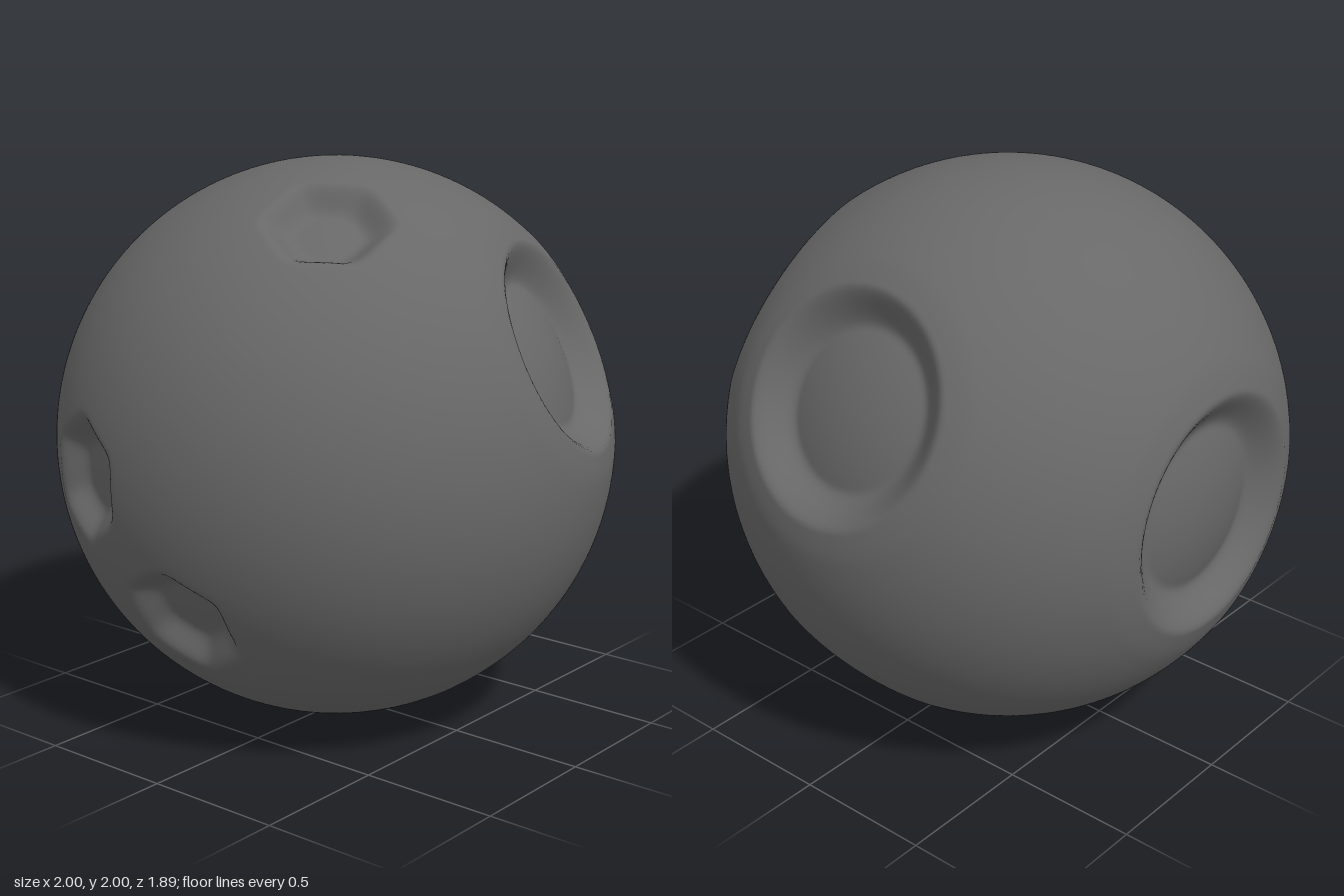
import * as THREE from 'three';
import { mergeVertices } from 'three/addons/utils/BufferGeometryUtils.js';

const { smoothstep, degToRad } = THREE.MathUtils;

// Outward direction and size of each round crater
const roundCraters = [
  [0.26, 0.42, 0.865, 0.94],
  [0.89, 0.45, 0.01, 0.98],
  [0.43, -0.85, 0.31, 1.02],
  [0, 0, -1, 1.04],
].map(([x, y, z, size]) => ({ dir: new THREE.Vector3(x, y, z).normalize(), size }));

// Outward direction and side directions of each small hexagonal crater
const hexCraters = [
  [-0.42, 0.85, 0.315],
  [-0.94, -0.03, -0.34],
  [-0.87, -0.48, 0.05],
].map((d) => {
  const dir = new THREE.Vector3(...d).normalize();
  const v = new THREE.Vector3(0, 0, 1).addScaledVector(dir, -dir.z).normalize();
  const u = new THREE.Vector3().crossVectors(v, dir);
  const sides = Array.from({ length: 6 }, (_, k) => {
    const a = (k * Math.PI) / 3;
    return v.clone().multiplyScalar(Math.cos(a)).addScaledVector(u, Math.sin(a));
  });
  return { dir, sides };
});

// 1 on the crater floor, curving up to a steep wall and 0 at the rim
const sink = (d, floor, rim) => 1 - smoothstep(d, floor, rim) ** 1.5;

// Distance from the centre of the ball to its surface in direction p
function surfaceRadius(p) {
  let r = 1;
  for (const { dir, size } of roundCraters) {
    const angle = p.angleTo(dir) / size;
    r -= 0.12 * sink(angle, degToRad(17.5), degToRad(24.5));
    // Soft lip around the rim
    r -= 0.012 * (1 - smoothstep(angle, degToRad(22), degToRad(31)));
  }
  for (const { dir, sides } of hexCraters) {
    if (p.dot(dir) < 0.9) continue;
    // Soft maximum rounds the corners of the hexagon
    const d = Math.log(sides.reduce((sum, s) => sum + Math.exp(60 * s.dot(p)), 0)) / 60;
    r -= 0.085 * sink(d, 0.1, 0.215);
  }
  return r;
}

export function createModel() {
  const group = new THREE.Group();

  // Ball with sunken round and hexagonal craters
  let geo = new THREE.IcosahedronGeometry(1, 80);
  geo.deleteAttribute('normal');
  geo.deleteAttribute('uv');
  geo = mergeVertices(geo, 1e-4);
  const pos = geo.attributes.position;
  const p = new THREE.Vector3();
  for (let i = 0; i < pos.count; i++) {
    p.fromBufferAttribute(pos, i).normalize();
    p.multiplyScalar(surfaceRadius(p));
    pos.setXYZ(i, p.x, p.y, p.z);
  }
  geo.computeVertexNormals();

  const ball = new THREE.Mesh(geo, new THREE.MeshStandardMaterial({ color: 0x686868 }));
  ball.name = 'crateredBall';
  ball.position.set(0, 1, -0.055);
  group.add(ball);
  return group;
}
